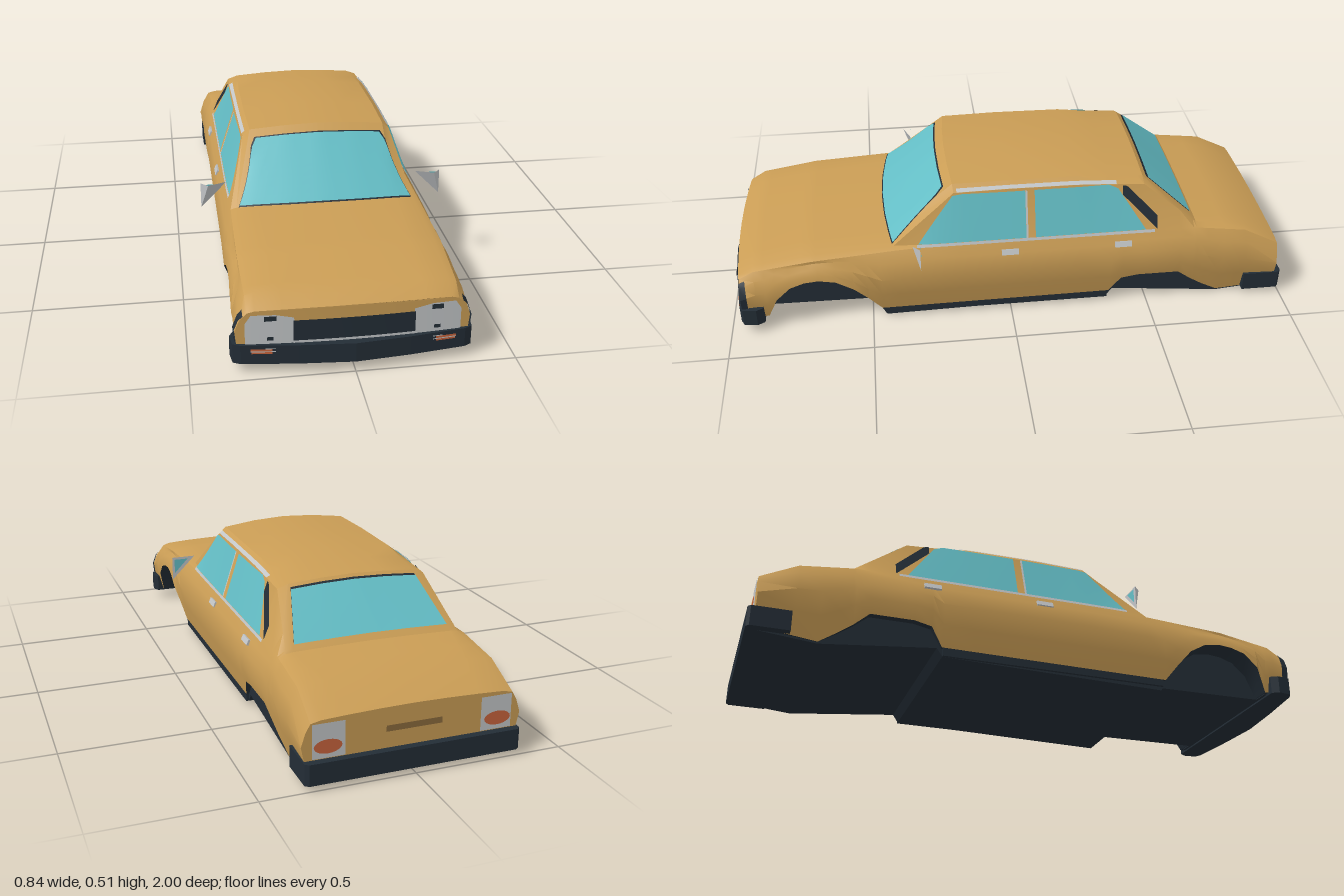
import * as THREE from 'three';
import { toCreasedNormals } from 'three/addons/utils/BufferGeometryUtils.js';

const material = (name, color, side = THREE.DoubleSide) => {
  const m = new THREE.MeshStandardMaterial({ color, side });
  m.name = name;
  return m;
};

// Upper body by z: shoulder x,y | glass top x,y | roof edge x,y | centre y | forward bow
const UPPER = [
  [0.952, 0.322, 0.204, 0.3, 0.21, 0.22, 0.213, 0.216, 0.018],
  [0.9, 0.325, 0.235, 0.3, 0.243, 0.22, 0.247, 0.25, 0.012],
  [0.7, 0.33, 0.265, 0.305, 0.275, 0.22, 0.281, 0.286, 0.01],
  [0.4, 0.325, 0.285, 0.305, 0.292, 0.24, 0.298, 0.305, 0.04],
  [0.18, 0.322, 0.295, 0.262, 0.468, 0.237, 0.49, 0.508, 0.03],
  [0.0, 0.322, 0.295, 0.264, 0.472, 0.24, 0.492, 0.513, 0],
  [-0.25, 0.322, 0.295, 0.264, 0.47, 0.238, 0.49, 0.509, 0],
  [-0.48, 0.322, 0.295, 0.262, 0.455, 0.225, 0.468, 0.48, 0],
  [-0.67, 0.325, 0.295, 0.3, 0.305, 0.275, 0.308, 0.313, 0],
  [-0.85, 0.328, 0.272, 0.3, 0.279, 0.23, 0.282, 0.286, 0],
  [-0.975, 0.333, 0.208, 0.3, 0.215, 0.22, 0.219, 0.224, 0],
];
// Lower edge by z, with both wheel arches
const LOWER = [
  [0.952, 0.05], [0.865, 0.045], [0.83, 0.13], [0.78, 0.178], [0.73, 0.195], [0.68, 0.2], [0.62, 0.19],
  [0.56, 0.155], [0.51, 0.1], [0.46, 0.04], [-0.36, 0.045], [-0.4, 0.11], [-0.46, 0.122],
  [-0.61, 0.122], [-0.66, 0.08], [-0.71, 0.045], [-0.77, 0.008], [-0.975, 0.03],
];
// Half width of the flank by height
const FLANK = [[0.295, 0.322], [0.25, 0.353], [0.18, 0.365], [0.1, 0.347], [0.04, 0.335], [0, 0.325]];

// Linear lookup in a table sorted by falling first column
function look(table, v) {
  let i = 0;
  while (i < table.length - 2 && v < table[i + 1][0]) i++;
  const a = table[i], b = table[i + 1];
  const t = THREE.MathUtils.clamp((v - a[0]) / (b[0] - a[0]), 0, 1);
  return a.map((n, k) => n + (b[k] - n) * t);
}

// Half cross-section of the body at z: nine points from lower edge to roof centre
function section(z) {
  const [, sx, sy, gx, gy, ex, ey, cy, bow] = look(UPPER, z);
  const yb = look(LOWER, z)[1];
  const pts = [0, 0.3, 0.6, 0.85].map((f) => {
    const y = yb + (sy - yb) * f;
    return [look(FLANK, (y * 0.295) / sy)[1], y];
  });
  pts.push([sx, sy], [gx, gy], [ex, ey], [ex / 2, ey + (cy - ey) * 0.7], [0, cy]);
  return pts.map(([x, y]) => new THREE.Vector3(x, y, z + bow * (1 - (x / 0.36) ** 2)));
}

// Point on the body; row runs 0..16 across the whole section
function bodyPoint(z, row) {
  const s = section(z), r = row > 8 ? 16 - row : row, i = Math.min(7, Math.floor(r));
  const p = s[i].clone().lerp(s[i + 1], r - i);
  if (row > 8) p.x *= -1;
  return p;
}

// Surface from a rule f(u, v) sampled at the given values, facing du x dv
function grid(us, vs, f, crease = 0.5) {
  const pos = [], idx = [], n = vs.length;
  us.forEach((u) => vs.forEach((v) => pos.push(...f(u, v).toArray())));
  for (let i = 0; i < us.length - 1; i++)
    for (let j = 0; j < n - 1; j++) {
      const a = i * n + j, c = a + n;
      idx.push(a, c, a + 1, c, c + 1, a + 1);
    }
  const g = new THREE.BufferGeometry();
  g.setAttribute('position', new THREE.Float32BufferAttribute(pos, 3));
  g.setIndex(idx);
  return toCreasedNormals(g, crease);
}

const steps = (a, b, n) => Array.from({ length: n + 1 }, (_, i) => a + ((b - a) * i) / n);
const V = (x, y, z) => new THREE.Vector3(x, y, z);
const shapeOf = (pts) => new THREE.Shape(pts.map(([x, y]) => new THREE.Vector2(x, y)));

export function createModel() {
  const car = new THREE.Group();
  car.name = 'car';
  const paint = material('ochre paint', 0xca9d55);
  const glass = material('teal glass', 0x64bec6);
  const dark = material('dark trim', 0x232d36);
  const silver = material('silver trim', 0xc2c5c7, THREE.FrontSide);
  const orange = material('orange lens', 0xc8643c);
  const brown = material('brown recess', 0x8a6a3c);

  const add = (name, geometry, mat, parent = car) => {
    const m = new THREE.Mesh(geometry, mat);
    m.name = name;
    parent.add(m);
  };

  // Painted shell, nose and tail panels
  const zs = [...new Set([...UPPER, ...LOWER].map((r) => r[0]))].sort((a, b) => b - a);
  add('bodyShell', grid(zs, steps(0, 16, 16), bodyPoint), paint);
  const noseZ = (x, lift) => 0.952 + 0.018 * (1 - (x / 0.36) ** 2) + lift;
  const endPanel = (z, dir, zRule) => grid(steps(-dir, dir, 8), steps(0, 8, 8), (t, r) => {
    const p = section(z)[r];
    return V(p.x * t, p.y, zRule(p.x * t));
  });
  add('nosePanel', endPanel(0.952, 1, (x) => noseZ(x, 0)), paint);
  add('tailPanel', endPanel(-0.975, -1, () => -0.975), paint);

  // Underbody: full-width slabs fore and aft of the front wheel wells, a narrower one between them
  const slab = (name, width, pts) => add(name,
    new THREE.ExtrudeGeometry(shapeOf(pts), { depth: width, bevelEnabled: false })
      .rotateY(-Math.PI / 2).translate(width / 2, 0, 0), dark);
  slab('floor', 0.65, [[0.465, 0.2], [-0.93, 0.2], [-0.965, 0.02], [-0.77, 0.002], [-0.375, 0.045],
    [-0.355, 0.016], [0.45, 0.002], [0.465, 0.03]]);
  slab('wellFloor', 0.54, [[0.88, 0.042], [0.88, 0.2], [0.46, 0.2], [0.46, 0.036]]);
  slab('chin', 0.65, [[0.93, 0.042], [0.93, 0.2], [0.87, 0.2], [0.87, 0.042]]);
  add('sills', new THREE.BoxGeometry(0.67, 0.03, 0.81).translate(0, 0.031, 0.05), dark);

  // Windscreen and rear window with a hairline seal; the side edge moves from row r0 to r1
  const pane = (z0, z1, r0, r1, lift, dir) => grid(steps(z0, z1, 8), steps(-1, 1, 16), (z, t) => {
    const r = r0 + ((r1 - r0) * (z - z0)) / (z1 - z0);
    return bodyPoint(z, 8 + t * (8 - r)).add(V(0, 0.75 * lift, 0.66 * lift * dir));
  });
  add('windscreenSeal', pane(0.402, 0.205, 5.1, 6.12, 0.004, 1), dark);
  add('windscreen', pane(0.397, 0.209, 5.15, 6.16, 0.006, 1), glass);
  add('rearWindowSeal', pane(-0.492, -0.65, 6.06, 6.02, 0.004, -1), dark);
  add('rearWindow', pane(-0.499, -0.652, 6.06, 6.02, 0.006, -1), glass);

  // Thin strip lying on the cabin side, between two height rules
  const onSide = (z, y, lift) => {
    const [, sx, sy, gx, gy] = look(UPPER, z);
    return V(sx + ((gx - sx) * (y - sy)) / (gy - sy) + lift, y, z);
  };
  const sideStrip = (z0, z1, lo, hi, lift = 0.006) => grid(steps(z0, z1, 12), [0, 0.5, 1],
    (z, t) => onSide(z, lo(z) + (hi(z) - lo(z)) * t, lift));
  const sill = () => 0.302;
  const frontTop = (z) => Math.min(0.466, 0.303 + (0.325 - z) * 1.25);
  const rearTop = (z) => Math.min(0.466, 0.303 + (z + 0.483) * 1.5);
  const ventLine = (z) => 0.45 + (z + 0.405) * 1.02;

  // Parts found on both sides
  for (const s of [1, -1]) {
    const side = new THREE.Group();
    side.name = s > 0 ? 'leftSide' : 'rightSide';
    side.scale.x = s;
    car.add(side);

    add('archLiner', grid(zs, [0, 1], (z, t) => {
      const p = section(z)[0];
      return V(p.x + (0.265 - p.x) * t, p.y, p.z);
    }), dark, side);
    add('frontSideWindow', sideStrip(0.325, -0.055, sill, frontTop), glass, side);
    add('rearSideWindow', sideStrip(-0.088, -0.483, sill, rearTop), glass, side);
    add('beltTrim', sideStrip(0.33, -0.515, () => 0.292, () => 0.302, 0.007), silver, side);
    add('pillarTrim', sideStrip(-0.055, -0.062, sill, () => 0.466, 0.007), silver, side);
    add('roofTrim', grid(steps(0.17, -0.38, 10), [5, 5.45],
      (z, r) => bodyPoint(z, r).add(V(0.003, 0.003, 0))), silver, side);
    add('pillarVent', sideStrip(-0.402, -0.525, (z) => ventLine(z) - 0.026,
      (z) => Math.min(ventLine(z) + 0.02, 0.458), 0.006), dark, side);

    // Dark seam between lamp and wing
    add('wingSeam', grid([0.954, 0.932], [1, 2, 3, 3.6],
      (z, r) => bodyPoint(z, r).add(V(0.004, 0, 0))), dark, side);

    // Door handles
    for (const z of [0.005, -0.4])
      add('doorHandle', new THREE.BoxGeometry(0.012, 0.02, 0.06).rotateZ(0.4).translate(0.345, 0.26, z), silver, side);

    // Pointed door mirror, open at the top, with glass on its back face
    const a = V(0.332, 0.35, 0.322), b = V(0.42, 0.35, 0.322), c = V(0.42, 0.262, 0.322), peak = V(0.395, 0.35, 0.347);
    const mirror = new THREE.BufferGeometry().setFromPoints([a, c, peak, peak, c, b, a, b, c]);
    mirror.computeVertexNormals();
    add('doorMirror', mirror, silver, side);
    const mirrorFace = shapeOf([[0.36, 0.342], [0.412, 0.288], [0.412, 0.342]]);
    add('mirrorGlass', new THREE.ShapeGeometry(mirrorFace).rotateY(Math.PI)
      .scale(-1, 1, 1).translate(0, 0, 0.319), glass, side);

    // Headlamp, following the nose
    const lampTop = (x) => Math.min(0.198, 0.187 + (x - 0.185) * 0.2, 0.17 + (0.33 - x) * 1.6);
    add('headlamp', grid(steps(0.183, 0.33, 8), [0, 1],
      (x, t) => V(x, 0.098 + (lampTop(x) - 0.098) * t, noseZ(x, 0.004))), silver, side);
    for (const [x, y, w, h] of [[0.254, 0.187, 0.036, 0.016], [0.255, 0.119, 0.02, 0.012]])
      add('lampMark', new THREE.PlaneGeometry(w, h).translate(x, y, noseZ(0.24, 0.006)), dark, side);

    // Turn signal stripes in the front bumper
    const signal = (name, x0, x1, y, h, mat) => add(name, grid([x0, x1], [y, y + h],
      (x, v) => V(x, v, 1.003 - x * 0.104)), mat, side);
    signal('signalLens', 0.25, 0.315, 0.081, 0.007, orange);
    signal('signalLens', 0.25, 0.312, 0.072, 0.006, orange);
    signal('signalTrim', 0.24, 0.315, 0.078, 0.003, silver);
    signal('signalTrim', 0.24, 0.27, 0.088, 0.003, silver);

    // Tail lamp
    add('tailLamp', new THREE.PlaneGeometry(0.105, 0.112).rotateY(Math.PI).translate(0.277, 0.15, -0.979), silver, side);
    add('tailLens', new THREE.CircleGeometry(1, 20).scale(0.045, 0.023, 1).rotateY(Math.PI)
      .translate(0.28, 0.132, -0.982), orange, side);
  }

  // Grille and its lower chrome strip
  const noseStrip = (w, y0, y1) => grid(steps(-w, w, 8), [y0, y1], (x, y) => V(x, y, noseZ(x, 0.005)));
  add('grille', noseStrip(0.186, 0.108, 0.177), dark);
  add('grilleTrim', noseStrip(0.186, 0.098, 0.108), silver);
  add('tailRecess', new THREE.PlaneGeometry(0.185, 0.02).rotateY(Math.PI).translate(0, 0.155, -0.979), brown);

  // Wrap-around bumpers
  const bumper = (pts, top, height) => new THREE.ExtrudeGeometry(shapeOf(pts), { depth: height, bevelEnabled: false })
    .rotateX(Math.PI / 2).translate(0, top, 0);
  add('frontBumper', bumper([[-0.36, 0.88], [0.36, 0.88], [0.374, 0.905], [0.368, 0.952], [0.345, 0.964], [0.17, 0.986],
    [0, 1], [-0.17, 0.986], [-0.345, 0.964], [-0.368, 0.952], [-0.374, 0.905]], 0.1, 0.064), dark);
  add('rearBumper', bumper([[-0.357, -0.86], [-0.357, -0.99], [-0.345, -1], [0.345, -1], [0.357, -0.99],
    [0.357, -0.86]], 0.09, 0.07), dark);
  return car;
}
